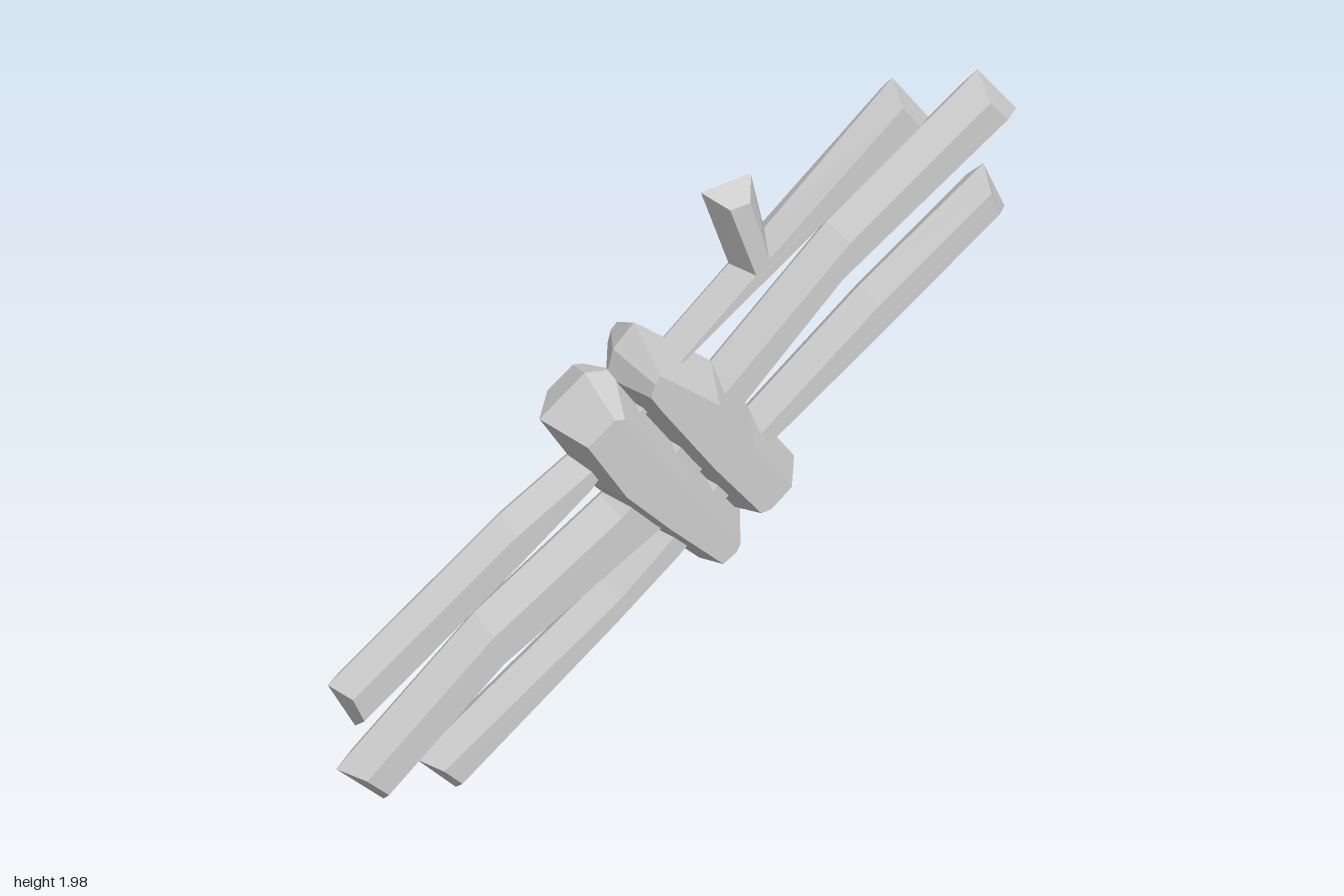
import * as THREE from 'three';

const material = new THREE.MeshStandardMaterial({ color: 0xcccccc, flatShading: true, side: THREE.DoubleSide });

// Slab with its full outline (in hundredths) at z = 0, chamfered inward to smaller faces at z = +-half
function chamferedSlab(name, outline, half, inset) {
  const shape = new THREE.Shape(outline.map(([x, y]) => new THREE.Vector2(x / 100, y / 100)));
  const depth = 0.002;
  const geometry = new THREE.ExtrudeGeometry(shape, {
    depth,
    steps: 1,
    bevelEnabled: true,
    bevelSegments: 1,
    bevelThickness: half - depth / 2,
    bevelSize: inset,
    bevelOffset: -inset,
  });
  geometry.translate(0, 0, -depth / 2);
  const mesh = new THREE.Mesh(geometry, material);
  mesh.name = name;
  return mesh;
}

export function createModel() {
  const group = new THREE.Group();
  group.name = 'stickBundle';

  // Three crooked sticks; the upper one has a side twig
  group.add(chamferedSlab('middleStick', [
    [87, 198], [44, 159], [11, 122], [-21, 86], [-58, 55], [-99, 12],
    [-86, 0], [-49, 39], [-1, 76], [21, 109], [49, 142], [99, 186],
  ], 0.097, 0.048));
  group.add(chamferedSlab('upperStickWithTwig', [
    [62, 198], [26, 159], [22, 175], [8, 171], [16, 150], [-3, 130], [-28, 101], [-50, 84], [-100, 39],
    [-93, 25], [-45, 68], [-23, 89], [3, 123], [33, 150], [73, 186],
  ], 0.087, 0.042));
  group.add(chamferedSlab('lowerStick', [
    [90, 171], [54, 139], [21, 106], [-7, 75], [-21, 60], [-76, 11],
    [-65, 0], [-16, 47], [2, 65], [30, 97], [60, 124], [97, 158],
  ], 0.087, 0.042));

  // Two turns of binding whose chamfers meet in a groove
  group.add(chamferedSlab('lowerBinding', [
    [-38, 111], [-25, 123], [-17, 123], [4, 97], [20, 76], [17, 69], [8, 62], [-11, 78], [-24, 90],
  ], 0.205, 0.06));
  group.add(chamferedSlab('upperBinding', [
    [-19, 121], [-17, 129], [-11, 136], [-3, 131], [11, 122], [22, 107],
    [36, 90], [25, 79], [17, 77], [1, 95], [-14, 114],
  ], 0.205, 0.06));

  return group;
}
